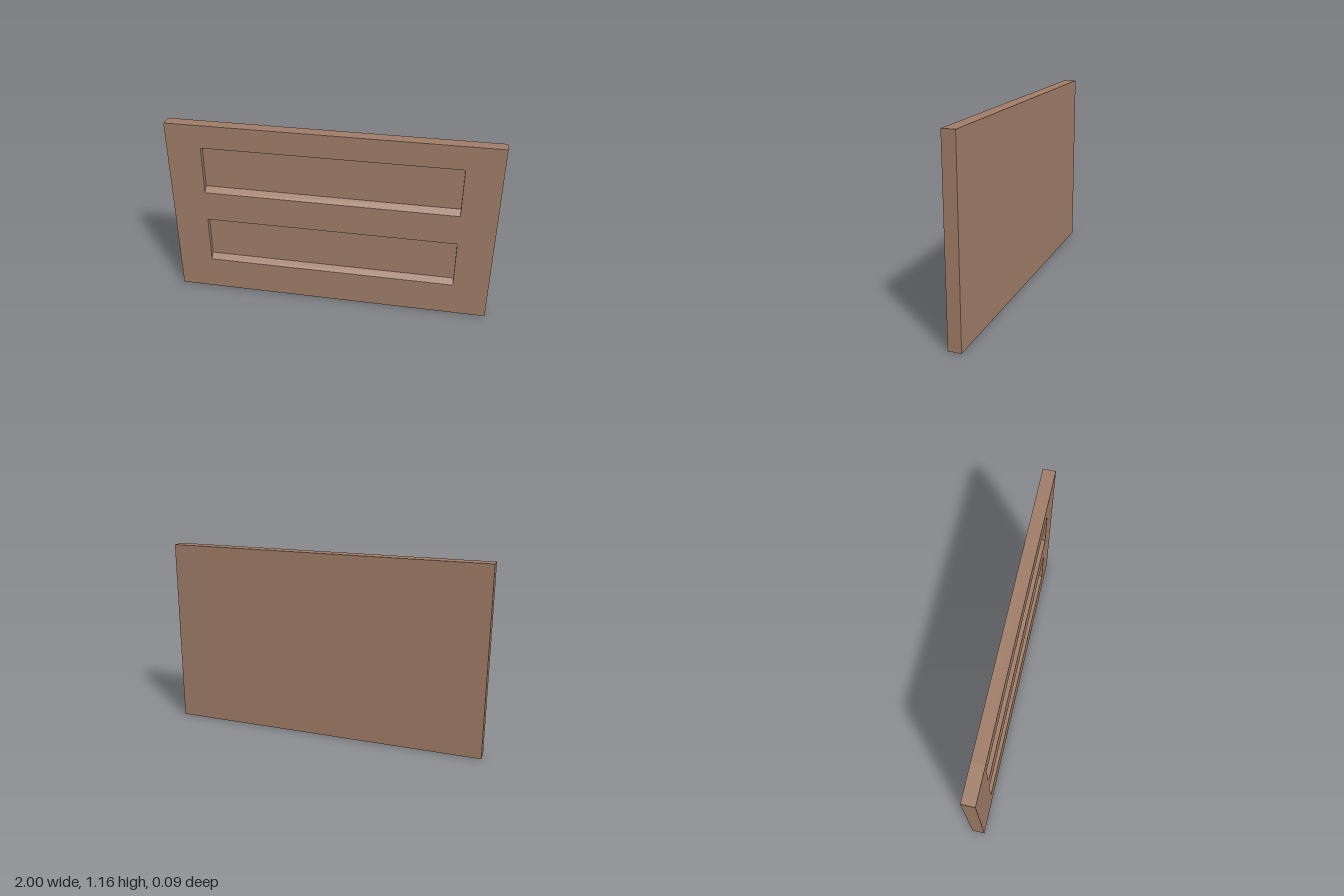
import * as THREE from 'three';

const HEIGHT = 1.16;
const FRONT = 0.039; // half the thickness
const FLOOR = 0.008; // z of the recessed panels
const LEFT = -0.785, RIGHT = 0.782; // recess ends
const RECESSES = [0.213, 0.71]; // lower lip of each recess
const RECESS_HEIGHT = 0.304, SILL_RISE = 0.033;

export function createModel() {
  const model = new THREE.Group();
  model.name = 'recessedPanel';
  const brown = new THREE.MeshStandardMaterial({ color: 0xa07d68 });
  brown.name = 'brown';

  const add = (name, geometry) => {
    const mesh = new THREE.Mesh(geometry, brown);
    mesh.name = name;
    model.add(mesh);
    return mesh;
  };

  // Middle span: side profile with two recesses and sloping sills, run along x
  const points = [[-FRONT, 0], [FRONT, 0]];
  for (const y of RECESSES) {
    points.push(
      [FRONT, y], [FLOOR, y + SILL_RISE],
      [FLOOR, y + RECESS_HEIGHT], [FRONT, y + RECESS_HEIGHT]
    );
  }
  points.push([FRONT, HEIGHT], [-FRONT, HEIGHT]);
  const profile = new THREE.Shape(points.map(([z, y]) => new THREE.Vector2(-z, y)));
  const span = new THREE.ExtrudeGeometry(profile, { depth: RIGHT - LEFT, bevelEnabled: false });
  span.rotateY(Math.PI / 2).translate(LEFT, 0, 0);
  add('middlePanel', span);

  // Solid stiles closing both ends
  for (const [name, x0, x1] of [['rightStile', -1, LEFT], ['leftStile', RIGHT, 1]]) {
    const stile = new THREE.BoxGeometry(x1 - x0, HEIGHT, FRONT * 2);
    add(name, stile).position.set((x0 + x1) / 2, HEIGHT / 2, 0);
  }

  // The panel stands very slightly turned
  model.rotation.y = -0.004;
  return model;
}
